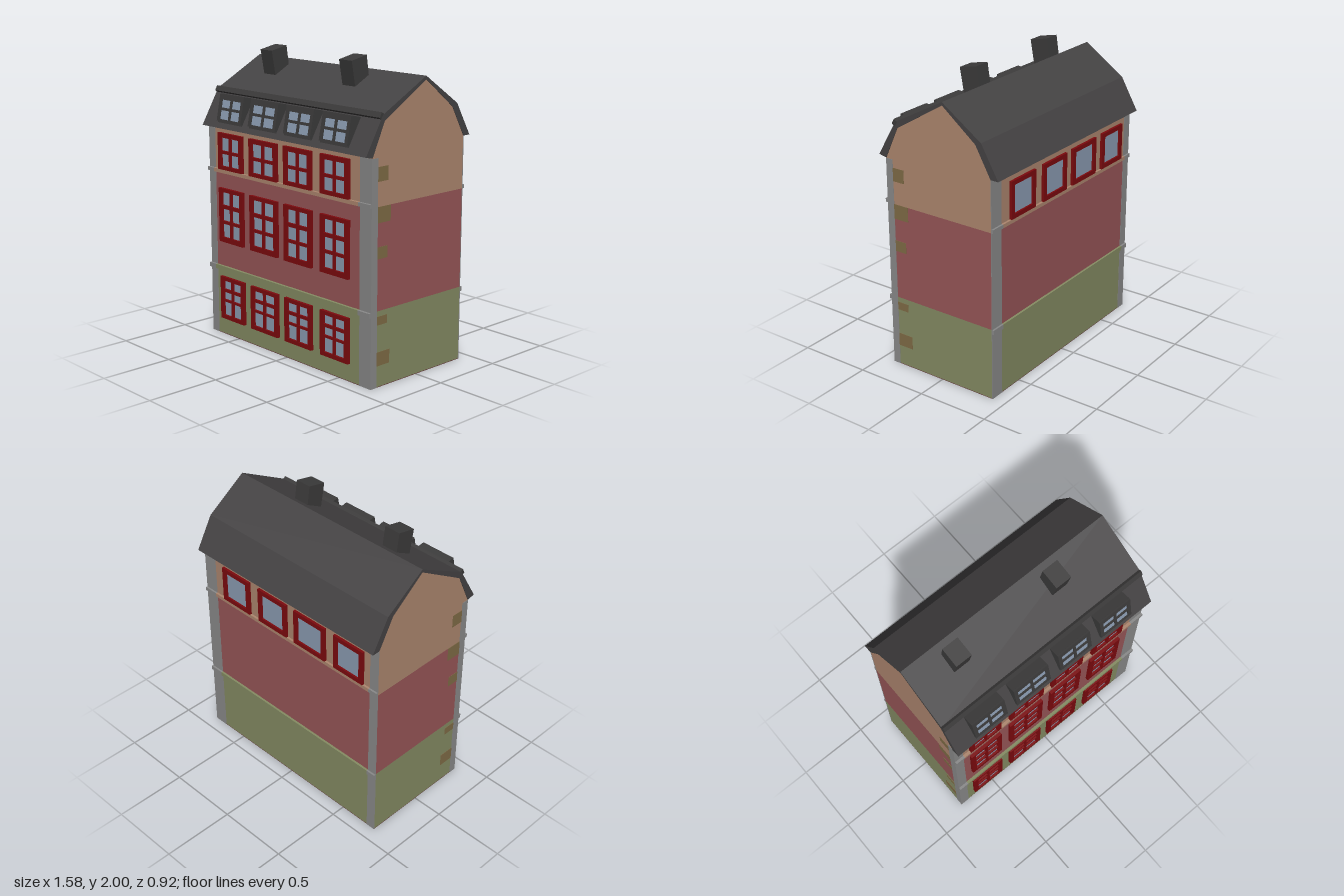
import * as THREE from 'three';

const mat = (color) => new THREE.MeshStandardMaterial({ color, flatShading: true });
const M = {
  green: mat(0x858c63), red: mat(0x985658), tan: mat(0xae876f), grey: mat(0x8a8a8a),
  quoin: mat(0x806c46), frame: mat(0x7d0a0e), glass: mat(0x8c9db3),
  roof: mat(0x454344), dark: mat(0x3c3b3b), floor: mat(0x6a3c3e),
};
const HALF = 0.785; // half width of the house
const FRONT = 0.405, BACK = -0.405;

function add(parent, name, geometry, material) {
  const mesh = new THREE.Mesh(geometry, material);
  mesh.name = name;
  parent.add(mesh);
  return mesh;
}

// Box given by its limits on each axis
function box(parent, name, [x0, x1], [y0, y1], [z0, z1], material) {
  const mesh = add(parent, name, new THREE.BoxGeometry(x1 - x0, y1 - y0, z1 - z0), material);
  mesh.position.set((x0 + x1) / 2, (y0 + y1) / 2, (z0 + z1) / 2);
  return mesh;
}

// Profile of [z, y] points swept along x
function prism(parent, name, points, x0, x1, material) {
  const shape = new THREE.Shape(points.map(([z, y]) => new THREE.Vector2(-z, y)));
  const geo = new THREE.ExtrudeGeometry(shape, { depth: x1 - x0, bevelEnabled: false });
  geo.rotateY(Math.PI / 2).translate(x0, 0, 0);
  return add(parent, name, geo, material);
}

function rect(path, x0, x1, y0, y1) {
  path.moveTo(x0, y0);
  path.lineTo(x1, y0);
  path.lineTo(x1, y1);
  path.lineTo(x0, y1);
  path.closePath();
  return path;
}

// Window facing +z: a frame with pane openings over one sheet of glass
function makeWindow(name, w, [y0, y1], rows, cols, border, bar, depth, frameMat) {
  const g = new THREE.Group();
  g.name = name;
  const shape = rect(new THREE.Shape(), -w / 2, w / 2, y0, y1);
  const paneW = (w - 2 * border - (cols - 1) * bar) / cols;
  for (const [lo, hi] of rows) {
    for (let c = 0; c < cols; c++) {
      const x = -w / 2 + border + c * (paneW + bar);
      shape.holes.push(rect(new THREE.Path(), x, x + paneW, lo, hi));
    }
  }
  add(g, 'windowFrame', new THREE.ExtrudeGeometry(shape, { depth, bevelEnabled: false }), frameMat);
  const glass = add(g, 'windowGlass', new THREE.PlaneGeometry(w - border, y1 - y0 - border), M.glass);
  glass.position.set(0, (y0 + y1) / 2, depth * 0.3);
  return g;
}

export function createModel() {
  const house = new THREE.Group();
  house.name = 'house';

  // Storeys and gabled top floor
  const wide = [-HALF, HALF], deep = [BACK, FRONT];
  box(house, 'floorPlate', wide, [0, 0.004], deep, M.floor);
  box(house, 'groundStorey', wide, [0.004, 0.495], deep, M.green);
  box(house, 'middleStorey', wide, [0.495, 1.15], deep, M.red);
  prism(house, 'topStorey', [[FRONT, 1.15], [FRONT, 1.455], [0.305, 1.67], [-0.05, 1.886],
    [-0.296, 1.69], [BACK, 1.497], [BACK, 1.15]], -HALF, HALF, M.tan);

  // Corner strips
  const corners = [[-HALF - 0.002, -0.72], [0.685, HALF + 0.002]];
  for (const xs of corners) {
    box(house, 'frontCorner', xs, [0, 1.45], [0.355, FRONT + 0.002], M.grey);
    box(house, 'backCorner', xs, [0, 1.49], [BACK - 0.002, BACK + 0.002], M.grey);
  }

  // Corner blocks on both side walls
  const blocks = [[0.14, 0.23, 0.245], [0.405, 0.46, 0.27], [0.825, 0.9, 0.27],
    [1.05, 1.15, 0.245], [1.305, 1.395, 0.27]];
  for (const side of [-1, 1]) {
    for (const [y0, y1, z0] of blocks) {
      const x = side * HALF;
      box(house, 'cornerBlock', [x - 0.002, x + 0.002], [y0, y1], [z0, 0.356], M.quoin);
    }
  }

  // Ledges between storeys, front and back
  for (const [ys, m] of [[[0.465, 0.495], M.green], [[1.15, 1.175], M.tan]]) {
    for (const zs of [[FRONT, 0.424], [-0.42, BACK]]) {
      box(house, 'ledge', [-0.72, 0.685], ys, zs, m);
      for (const xs of corners) box(house, 'ledgeEnd', xs, ys, zs, M.grey);
    }
  }

  // Windows
  const columns = [[-0.67, -0.42], [-0.345, -0.07], [0, 0.26], [0.345, 0.6]];
  const storeys = [
    [[0.12, 0.42], [[0.147, 0.245], [0.26, 0.315], [0.335, 0.395]]],
    [[0.67, 1.045], [[0.705, 0.80], [0.82, 0.905], [0.93, 1.02]]],
    [[1.175, 1.425], [[1.2, 1.285], [1.305, 1.395]]],
  ];
  for (const [x0, x1] of columns) {
    for (const [ys, rows] of storeys) {
      const win = makeWindow('frontWindow', x1 - x0, ys, rows, 2, 0.033, 0.018, 0.021, M.frame);
      win.position.set((x0 + x1) / 2, 0, FRONT);
      house.add(win);
    }
    const back = makeWindow('backWindow', x1 - x0, [1.175, 1.425], [[1.205, 1.395]], 1, 0.033, 0, 0.018, M.frame);
    back.position.set((x0 + x1) / 2, 0, BACK);
    back.rotation.y = Math.PI;
    house.add(back);
  }

  // Gambrel roof shell and the strip along its front break
  prism(house, 'roof', [[0.46, 1.465], [0.32, 1.705], [-0.05, 1.904], [-0.337, 1.708], [-0.46, 1.493],
    [-0.404, 1.493], [-0.294, 1.69], [-0.05, 1.883], [0.305, 1.666], [0.404, 1.453]],
    -HALF - 0.003, HALF + 0.003, M.roof);
  prism(house, 'roofStrip', [[0.347, 1.69], [0.33, 1.722], [0.305, 1.705], [0.325, 1.67]],
    -HALF - 0.003, HALF + 0.003, M.dark);

  // Dormers with tilted windows
  for (const [x0, x1] of [[-0.64, -0.39], [-0.315, -0.045], [0.035, 0.29], [0.37, 0.62]]) {
    prism(house, 'dormer', [[0.406, 1.69], [0.33, 1.672], [0.4, 1.49], [0.444, 1.5]], x0, x1, M.dark);
    const win = makeWindow('dormerWindow', x1 - x0, [0, 0.182],
      [[0.014, 0.074], [0.092, 0.144]], 2, 0.026, 0.018, 0.012, M.dark);
    win.position.set((x0 + x1) / 2, 1.51, 0.4422);
    win.rotation.x = -0.197;
    house.add(win);
  }

  // Leaning chimneys
  for (const x of [-0.53, 0.235]) {
    prism(house, 'chimney', [[0.157, 1.973], [0.027, 2], [0.005, 1.85], [0.125, 1.8]], x, x + 0.115, M.dark);
  }
  return house;
}
